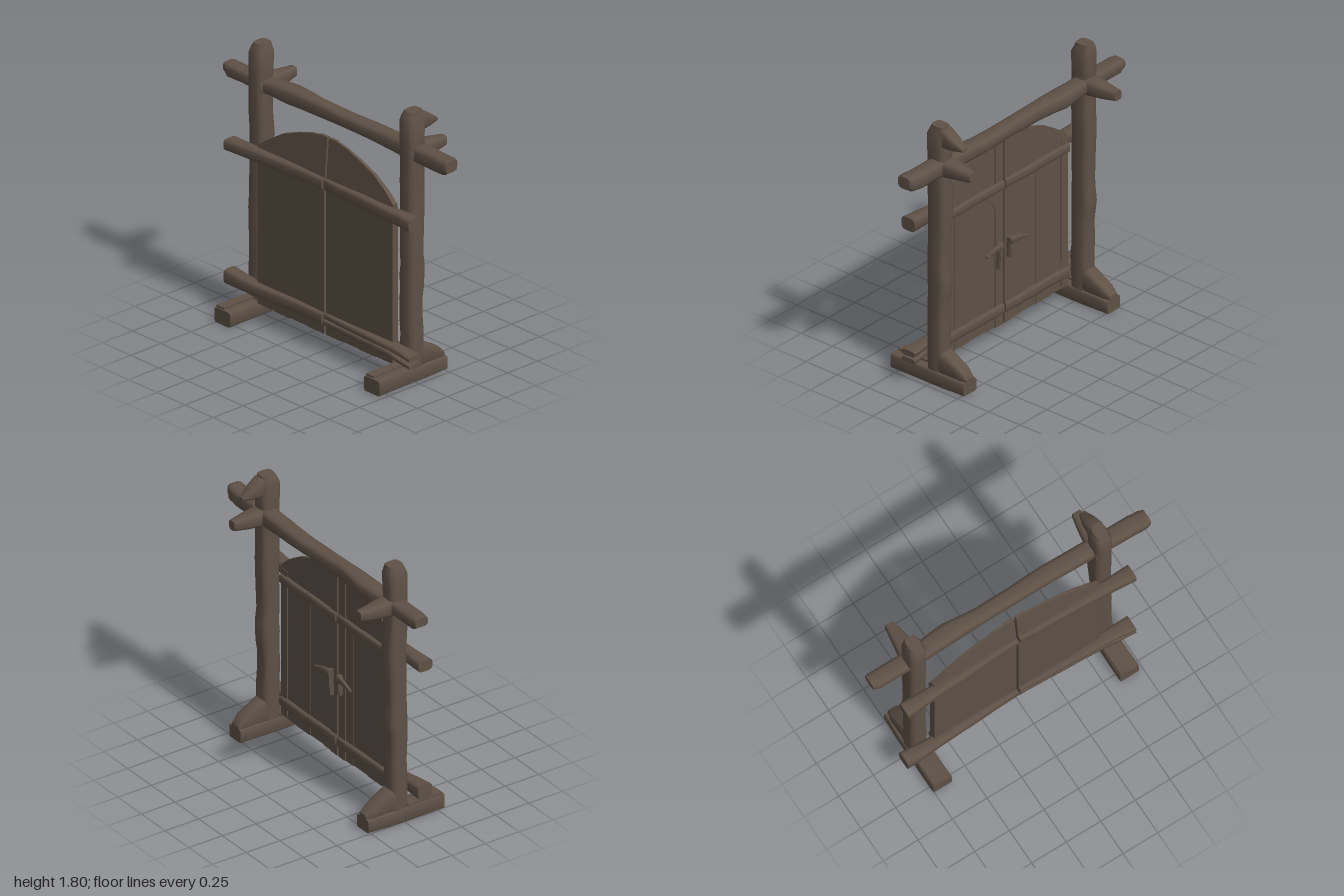
import * as THREE from 'three';
import { toCreasedNormals } from 'three/addons/utils/BufferGeometryUtils.js';

const wood = new THREE.MeshStandardMaterial({ color: 0x5e5146 });
wood.name = 'weathered wood';

// Small seeded generator for hewn irregularity
let seed = 7;
const rnd = () => ((seed = (seed * 16807) % 2147483647) / 2147483647) - 0.5;

const ORDER = { x: [0, 1, 2], y: [1, 2, 0], z: [2, 0, 1] };

// Hewn timber along an axis. Each section is [t, u0, u1, v0, v1];
// u, v follow the axis cyclically (x: y,z   y: z,x   z: x,y).
function timber(name, axis, sections, { rough = 0.006, square = 0.5, sides = 12, parts = 1 } = {}) {
  const rings = [];
  sections.forEach((s, i) => {
    if (i === 0) return rings.push(s);
    for (let k = 1; k <= parts; k++) {
      rings.push(s.map((v, j) => THREE.MathUtils.lerp(sections[i - 1][j], v, k / parts)));
    }
  });
  const [a, b, c] = ORDER[axis];
  const pos = [], idx = [];
  const push = (t, u, v) => {
    const p = [0, 0, 0];
    p[a] = t; p[b] = u; p[c] = v;
    pos.push(...p);
  };
  const pow = (q) => Math.sign(q) * Math.pow(Math.abs(q), square);
  rings.forEach(([t, u0, u1, v0, v1], r) => {
    const du = rnd() * rough, dv = rnd() * rough;
    for (let i = 0; i < sides; i++) {
      const ang = ((i + 0.5) / sides) * Math.PI * 2;
      const k = 1 + rnd() * rough * 5;
      push(t, (u0 + u1) / 2 + du + pow(Math.cos(ang)) * k * (u1 - u0) / 2,
        (v0 + v1) / 2 + dv + pow(Math.sin(ang)) * k * (v1 - v0) / 2);
      if (r > 0) {
        const j = (i + 1) % sides, lo = (r - 1) * sides, hi = r * sides;
        idx.push(lo + i, lo + j, hi + j, lo + i, hi + j, hi + i);
      }
    }
  });
  const last = (rings.length - 1) * sides, n = rings.length * sides;
  for (const s of [rings[0], rings[rings.length - 1]]) push(s[0], (s[1] + s[2]) / 2, (s[3] + s[4]) / 2);
  for (let i = 0; i < sides; i++) {
    const j = (i + 1) % sides;
    idx.push(n, j, i, n + 1, last + i, last + j);
  }
  const geo = new THREE.BufferGeometry();
  geo.setAttribute('position', new THREE.Float32BufferAttribute(pos, 3));
  geo.setIndex(idx);
  const mesh = new THREE.Mesh(toCreasedNormals(geo, 0.85), wood);
  mesh.name = name;
  return mesh;
}

function board(name, x0, x1, y0, y1, z0, z1) {
  const mesh = new THREE.Mesh(new THREE.BoxGeometry(x1 - x0, y1 - y0, Math.abs(z1 - z0)), wood);
  mesh.position.set((x0 + x1) / 2, (y0 + y1) / 2, (z0 + z1) / 2);
  mesh.name = name;
  return mesh;
}

// Flat piece cut in the z-y plane, from x = front towards -x
function cutout(name, points, front, depth) {
  const shape = new THREE.Shape(points.map(([z, y]) => new THREE.Vector2(z, y)));
  const geo = new THREE.ExtrudeGeometry(shape, { depth, bevelEnabled: false });
  geo.rotateY(-Math.PI / 2).translate(front, 0, 0);
  const mesh = new THREE.Mesh(geo, wood);
  mesh.name = name;
  return mesh;
}

// Upright with foot, brace and through-peg, around z = c
function upright(name, c, footEnd, pegTip, hooked) {
  const g = new THREE.Group();
  g.name = name;
  g.add(timber('post', 'y', [
    [0.02, c - 0.06, c + 0.06, -0.04, 0.085],
    [0.30, c - 0.06, c + 0.06, -0.04, 0.085],
    [0.55, c - 0.058, c + 0.058, -0.04, 0.083],
    [0.69, c - 0.06, c + 0.06, -0.04, 0.10],
    [0.85, c - 0.058, c + 0.058, -0.04, 0.085],
    [1.20, c - 0.06, c + 0.06, -0.038, 0.10],
    [1.45, c - 0.06, c + 0.06, -0.04, 0.092],
    [1.73, c - 0.06, c + 0.06, -0.045, 0.10],
    [1.795, c - 0.042, c + 0.042, -0.015, 0.085],
  ], { parts: 2, square: 0.55 }));
  g.add(timber('foot', 'x', [
    [footEnd, 0, 0.1, c - 0.068, c + 0.068], [-0.1, 0, 0.1, c - 0.067, c + 0.067],
    [0.1, 0, 0.095, c - 0.066, c + 0.066], [0.268, 0.003, 0.09, c - 0.06, c + 0.06],
  ], { rough: 0.002, square: 0.2, parts: 2 }));
  g.add(board('footSplinter', footEnd + 0.01, -0.03, 0.08, 0.112, c - 0.06, c + 0.005));
  g.add(timber('brace', 'x', [
    [0.03, 0.07, 0.26, c - 0.057, c + 0.057], [0.1, 0.07, 0.228, c - 0.055, c + 0.055],
    [0.22, 0.07, 0.16, c - 0.048, c + 0.048], [0.268, 0.07, 0.118, c - 0.035, c + 0.035],
  ]));
  g.add(timber('crossPeg', 'x', [
    [-0.025, 1.47, 1.56, c - 0.055, c + 0.055], [0.0, 1.462, 1.572, c - 0.066, c + 0.066],
    [0.10, 1.462, 1.57, c - 0.064, c + 0.064], [0.2, 1.468, 1.557, c - 0.048, c + 0.048],
    [pegTip, 1.482, 1.546, c - 0.03, c + 0.03],
  ]));
  if (hooked) {
    g.add(timber('topHook', 'x', [
      [0.0, 1.65, 1.788, c - 0.05, c + 0.05], [0.09, 1.652, 1.785, c - 0.05, c + 0.05],
      [0.16, 1.66, 1.738, c - 0.042, c + 0.042], [0.225, 1.668, 1.688, c - 0.02, c + 0.02],
    ]));
  }
  return g;
}

// One leaf, s = +1 or -1 for its side; near/far are distances from the middle.
// tips lists the end heights of the lower rail's prongs and of the upper rail.
function door(name, s, near, far, tip, lowTips, highTip) {
  const g = new THREE.Group();
  g.name = name;
  const span = (n, f) => [Math.min(s * n, s * f), Math.max(s * n, s * f)];
  const along = (rings) => (s > 0 ? rings : rings.reverse());
  // Plank panel and its arched top
  const planks = 4, w = (far - near) / planks;
  for (let i = 0; i < planks; i++) {
    const [z0, z1] = span(near + i * w, near + (i + 1) * w);
    g.add(board('plank', -0.078, -0.037 - (i % 2) * 0.002, 0.10 + (i % 2) * 0.004, 1.12, z0, z1));
  }
  const outline = [[near, 1.1], [far, 1.1], [far, 1.165], [0.52, 1.23], [0.41, 1.30],
    [0.27, 1.355], [0.16, 1.39], [0.06, 1.408], [near, 1.408]];
  const arch = cutout('archedTop', outline.map(([d, y]) => [s * d, y]), -0.037, 0.041);
  const p = arch.geometry.attributes.position;
  for (let i = 0; i < p.count; i++) {
    if (p.getX(i) < -0.05) p.setX(i, -0.078 + 0.026 * (p.getY(i) - 1.1) / 0.308);
  }
  arch.geometry.computeVertexNormals();
  g.add(arch);
  // Stiles, face rails and a corner fillet
  const [m0, m1] = span(near, near + 0.068), [o0, o1] = span(far - 0.06, far);
  g.add(board('middleStile', -0.05, -0.03, 0.10, 1.407, m0, m1));
  g.add(board('outerStile', -0.07, -0.031, 0.12, 1.14, o0, o1));
  const fillet = s > 0
    ? [[0.06, 1.06], [0.19, 1.06], [0.15, 1.02], [0.09, 0.965], [0.07, 0.92], [0.06, 0.92]]
    : [[-0.57, 0.22], [-0.47, 0.22], [-0.53, 0.26], [-0.56, 0.32], [-0.57, 0.32]];
  g.add(cutout('cornerFillet', fillet, -0.032, 0.03));
  const [r0, r1] = span(near, far);
  for (const [y, h] of [[1.04, 0.062], [0.175, 0.068]]) {
    g.add(timber('faceRail', 'z', [
      [r0, -0.06, -0.014, y, y + h], [(r0 + r1) / 2, -0.06, -0.012, y, y + h], [r1, -0.06, -0.014, y, y + h],
    ], { parts: 3, rough: 0.004 }));
  }
  // Long rear rails reaching past the posts; the front lower one is split at its end
  const rearRail = (y0, y1, end, e0, e1) => g.add(timber('rearRail', 'z', along([
    [s * near, -0.10, -0.06, y0, y1 - 0.005], [s * 0.3, -0.115, -0.055, y0, y1],
    [s * 0.6, -0.13, -0.05, y0, y1], [s * end, -0.145, -0.04, e0, e1],
  ]), { parts: 2, rough: 0.004 }));
  rearRail(1.07, 1.15, tip, ...highTip);
  const prong = 0.08 / lowTips.length;
  lowTips.forEach(([e0, e1], i) => rearRail(0.17 + i * prong, 0.17 + (i + 1) * prong, tip, e0, e1));
  // Latch handle: upright grip with a pointed lever
  const [g0, g1] = span(0.035, 0.062);
  const gripLow = s > 0 ? 0.51 : 0.555;
  g.add(timber('handleGrip', 'y', [
    [gripLow, g0, g1, -0.04, -0.005], [0.6, g0, g1, -0.035, 0.005], [0.69, g0, g1, -0.04, 0.0],
  ], { sides: 8, rough: 0.002 }));
  g.add(timber('handleLever', 'z', along([
    [s * 0.035, -0.03, 0.01, 0.645, 0.692], [s * 0.1, -0.012, 0.012, 0.65, 0.688], [s * 0.19, -0.005, 0.012, 0.645, 0.66],
  ]), { sides: 8, rough: 0.002 }));
  return g;
}

export function createModel() {
  const gate = new THREE.Group();
  gate.name = 'woodenGate';
  gate.add(upright('frontUpright', 0.655, -0.308, 0.292, true));
  gate.add(upright('rearUpright', -0.69, -0.295, 0.302, false));
  // Lintel log across both posts
  gate.add(timber('lintel', 'z', [
    [-1, 0.0, 0.095, 1.50, 1.562], [-0.96, -0.01, 0.10, 1.475, 1.565], [-0.7, -0.015, 0.10, 1.475, 1.56],
    [-0.43, -0.005, 0.125, 1.462, 1.572], [-0.2, 0, 0.10, 1.468, 1.57], [0.05, 0, 0.105, 1.475, 1.562],
    [0.3, 0, 0.115, 1.472, 1.562], [0.6, -0.01, 0.105, 1.462, 1.572], [0.9, -0.018, 0.10, 1.465, 1.57],
    [0.97, -0.02, 0.095, 1.47, 1.572], [1, -0.015, 0.08, 1.49, 1.572],
  ], { parts: 2, square: 0.55, rough: 0.005 }));
  gate.add(door('frontDoor', 1, 0.0, 0.592, 0.81, [[0.15, 0.183], [0.2, 0.238]], [1.07, 1.16]));
  gate.add(door('rearDoor', -1, 0.014, 0.61, 0.84, [[0.175, 0.275]], [1.07, 1.145]));
  return gate;
}
